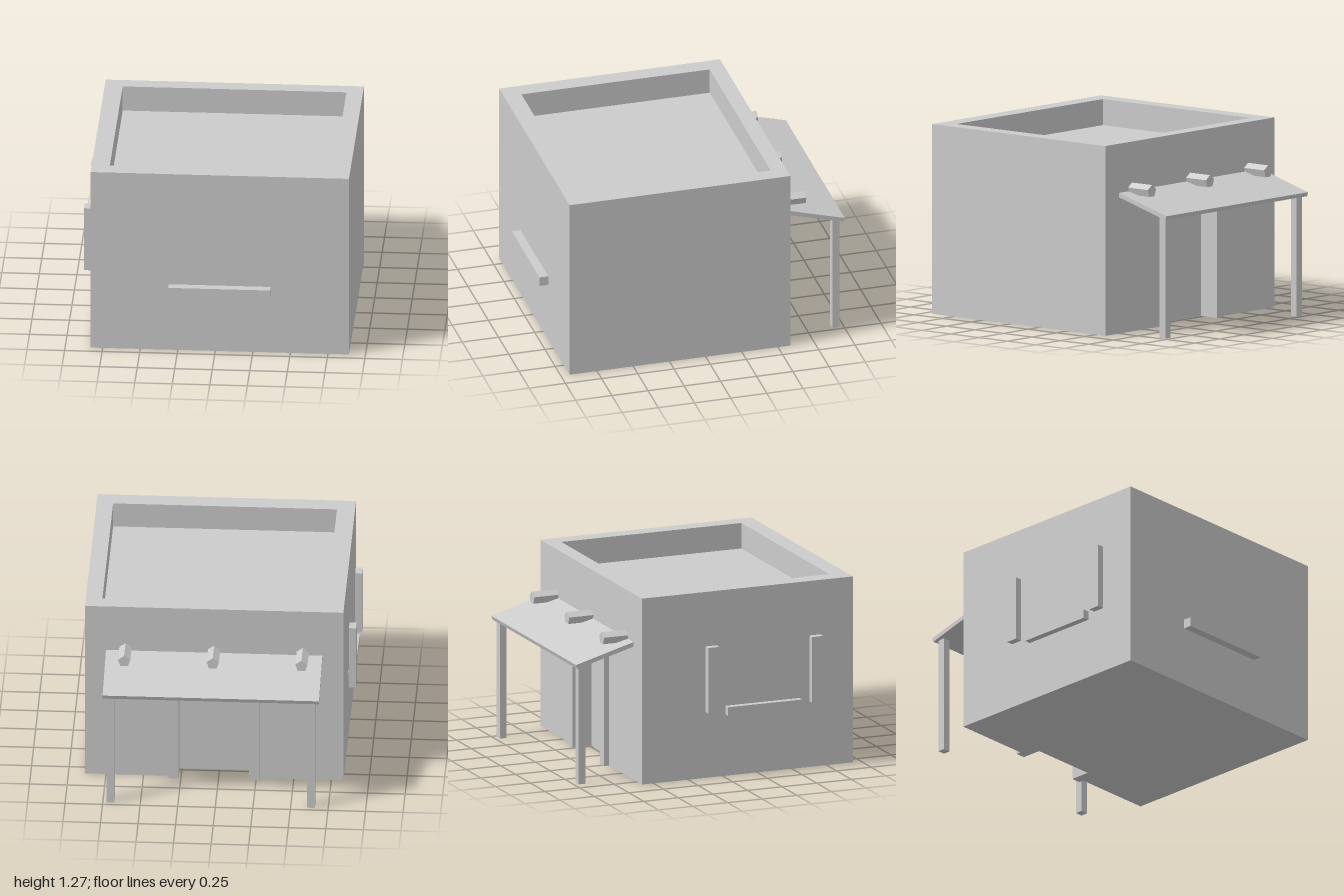
import * as THREE from 'three';

export function createModel() {
  const model = new THREE.Group();
  const plaster = new THREE.MeshStandardMaterial({ color: 0xcccccc });
  plaster.name = 'plaster grey';

  const add = (name, geometry) => {
    const mesh = new THREE.Mesh(geometry, plaster);
    mesh.name = name;
    model.add(mesh);
    return mesh;
  };
  // box given by its limits on each axis
  const box = (name, x0, x1, y0, y1, z0, z1) => {
    const mesh = add(name, new THREE.BoxGeometry(x1 - x0, y1 - y0, z1 - z0));
    mesh.position.set((x0 + x1) / 2, (y0 + y1) / 2, (z0 + z1) / 2);
    return mesh;
  };
  // floor plan outline in (x, z), raised from y0 to y1
  const toPlan = (points) => points.map(([x, z]) => new THREE.Vector2(x, -z));
  const raise = (name, outline, y0, y1, hole) => {
    const shape = new THREE.Shape(toPlan(outline));
    if (hole) shape.holes.push(new THREE.Path(toPlan(hole)));
    const geometry = new THREE.ExtrudeGeometry(shape, { depth: y1 - y0, bevelEnabled: false });
    geometry.rotateX(-Math.PI / 2).translate(0, y0, 0);
    return add(name, geometry);
  };
  const rect = (x0, x1, z0, z1) => [[x0, z1], [x1, z1], [x1, z0], [x0, z0]];

  const mid = 0.03; // centre line of the house
  const left = 0.89, right = -0.83, front = 0.94, back = -0.585;
  const doorHalf = 0.235, doorTop = 0.73, roofY = 1.1, top = 1.275;

  // house body: lower walls with a door recess, upper walls, roof parapet
  raise('lowerWalls', [
    [right, front], [left, front], [left, back],
    [mid + doorHalf, back], [mid + doorHalf, -0.48],
    [mid - doorHalf, -0.48], [mid - doorHalf, back], [right, back],
  ], 0, doorTop);
  const plan = rect(right, left, back, front);
  raise('upperWalls', plan, doorTop, roofY);
  raise('parapet', plan, roofY, top, rect(-0.71, 0.78, -0.48, 0.82));

  // door frame
  for (const side of [-1, 1]) {
    const a = mid + side * doorHalf, b = mid + side * 0.305;
    box('doorPost', Math.min(a, b), Math.max(a, b), 0, 0.8, -0.62, back);
  }
  box('doorLintel', mid - doorHalf, mid + doorHalf, doorTop, 0.8, -0.62, back);

  // sloping porch roof, a side profile extruded along x
  const profile = new THREE.Shape([
    [0.58, 0.915], [0.99, 0.8], [1.0, 0.828], [0.58, 0.946],
  ].map(([x, y]) => new THREE.Vector2(x, y)));
  const awning = new THREE.ExtrudeGeometry(profile, { depth: 1.44, bevelEnabled: false });
  awning.rotateY(Math.PI / 2).translate(-0.69, 0, 0);
  add('porchRoof', awning);

  // porch posts
  for (const x of [-0.635, 0.7]) box('porchPost', x - 0.027, x + 0.027, 0, 0.812, -0.97, -0.92);

  // five-sided beam ends above the porch
  for (const x of [-0.56, 0.03, 0.62]) {
    const geometry = new THREE.CylinderGeometry(0.043, 0.043, 0.18, 5).toNonIndexed();
    geometry.rotateX(-Math.PI / 2).computeVertexNormals();
    // the ridge points up
    add('beamEnd', geometry).position.set(x, 0.957, -0.67);
  }

  // window sills and shutters
  box('frontSill', -0.31, 0.37, 0.41, 0.475, front, 1);
  box('sideSill', -0.875, right, 0.42, 0.48, 0.02, 0.555);
  for (const z of [-0.09, 0.66]) box('sideShutter', -0.89, -0.842, 0.455, 0.905, z - 0.04, z + 0.04);

  return model;
}
